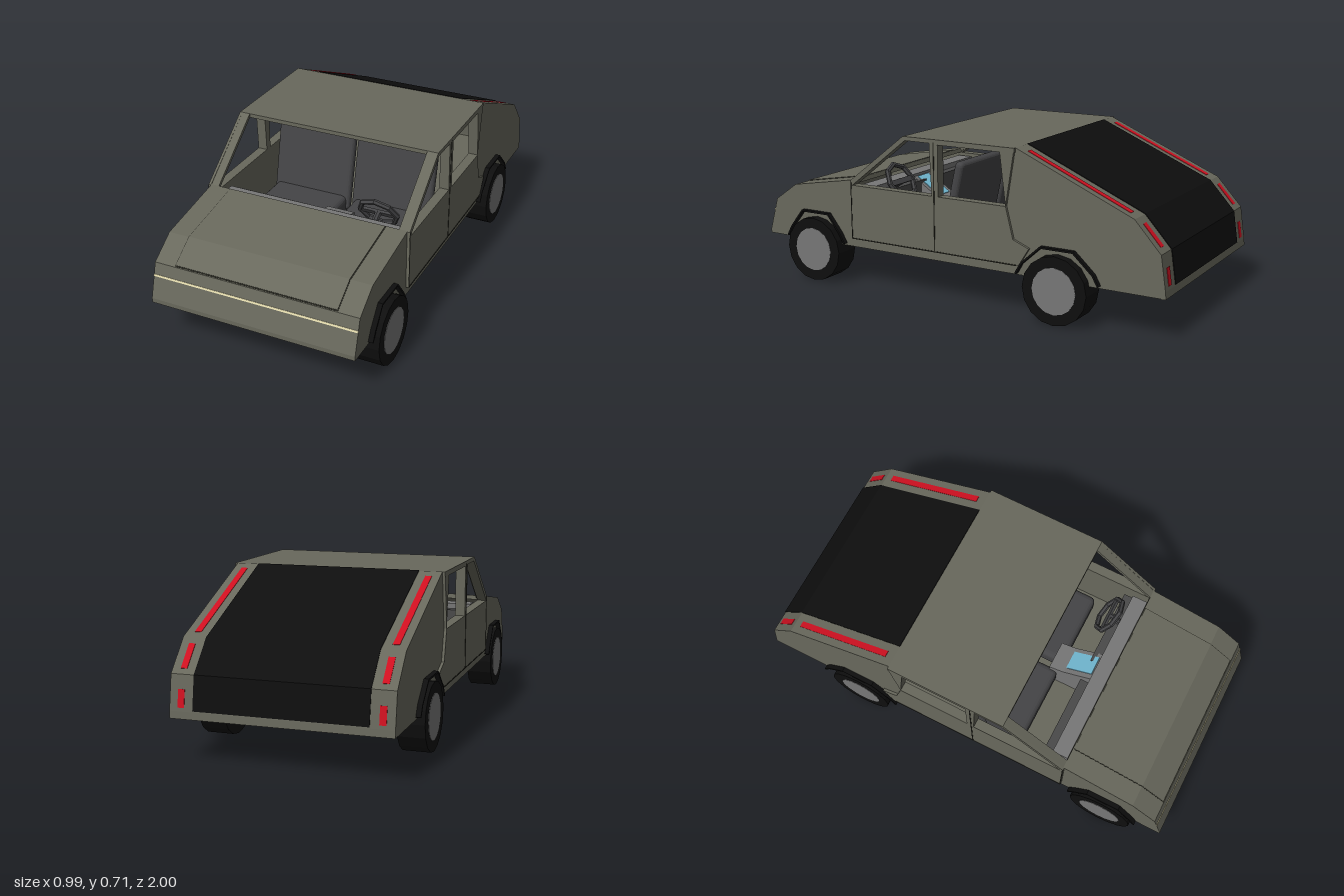
import * as THREE from 'three';
import { RoundedBoxGeometry } from 'three/addons/geometries/RoundedBoxGeometry.js';

const mat = (color) => new THREE.MeshStandardMaterial({ color, flatShading: true, roughness: 0.8, side: THREE.DoubleSide });
const paint = mat(0x68685c), black = mat(0x0e0e0e), red = mat(0xd01020), cream = mat(0xe6deb0);
const seam = mat(0x26261f), grey = mat(0x777777), lining = mat(0x4a4a4a), seatCloth = mat(0x444446), blue = mat(0x74bcd6);

// Profile points are [z, y], running from the nose over the roof to the tail
const NOSE = [[1, 0.18], [1, 0.2], [0.955, 0.35], [0.84, 0.43], [0.505, 0.488]];
const ROOF = [[0.22, 0.712], [-0.33, 0.712]];
const TAIL = [[-0.33, 0.712], [-0.86, 0.482], [-0.975, 0.355], [-0.997, 0.21], [-1, 0.18]];
const HALF = 0.462;

function add(parent, name, geometry, material, x = 0, y = 0, z = 0) {
  const mesh = new THREE.Mesh(geometry, material);
  mesh.name = name;
  mesh.position.set(x, y, z);
  parent.add(mesh);
  return mesh;
}

const toVectors = (pts) => pts.map(([z, y]) => new THREE.Vector2(z, y));

// Extrude a side-on outline across the car from x0 to x1
function across(outline, x0, x1, holes = []) {
  const shape = new THREE.Shape(toVectors(outline));
  holes.forEach((h) => shape.holes.push(new THREE.Path(toVectors(h))));
  const geo = new THREE.ExtrudeGeometry(shape, { depth: x1 - x0, bevelEnabled: false });
  return geo.rotateY(-Math.PI / 2).translate(x1, 0, 0);
}

// Move a profile line outwards by d, keeping its corners mitred
function offsetLine(pts, d) {
  const normal = (a, b) => new THREE.Vector2(b[1] - a[1], a[0] - b[0]).normalize();
  return pts.map((p, i) => {
    const n0 = i > 0 ? normal(pts[i - 1], p) : normal(p, pts[1]);
    const n1 = i < pts.length - 1 ? normal(p, pts[i + 1]) : n0;
    const m = n0.clone().add(n1).normalize();
    const k = d / m.dot(n0);
    return [p[0] + m.x * k, p[1] + m.y * k];
  });
}

// A sheet following a profile line, between two offsets from it
const sheet = (pts, x0, x1, inner, outer) =>
  across([...offsetLine(pts, outer), ...offsetLine(pts, inner).reverse()], x0, x1);

const mix = (a, b, t) => [a[0] + (b[0] - a[0]) * t, a[1] + (b[1] - a[1]) * t];

function buildShell(body) {
  const frontWindow = [[0.5, 0.466], [0.21, 0.694], [0.085, 0.694], [0.075, 0.466]];
  const rearWindow = [[0.042, 0.466], [0.042, 0.69], [-0.262, 0.69], [-0.29, 0.466]];
  const windows = [frontWindow, rearWindow];

  for (const s of [-1, 1]) {
    const span = (a, b) => (s > 0 ? [a, b] : [-b, -a]);
    // Full side wall, and the slightly proud cabin side with its doors
    add(body, 'sideWall', across([...NOSE, ...ROOF, ...TAIL.slice(1)], ...span(0.43, HALF), windows), paint);
    const cabin = [[0.51, 0.22], [0.51, 0.487], [0.22, 0.712], [-0.33, 0.712], [-0.29, 0.466],
      [-0.325, 0.33], [-0.4, 0.3], [-0.35, 0.22]];
    add(body, 'doorSkin', across(cabin, ...span(HALF, 0.474), windows), paint);
    // Door gaps
    const x = s * 0.4745;
    add(body, 'doorGap', new THREE.BoxGeometry(0.002, 0.48, 0.005), seam, x, 0.46, 0.063);
    add(body, 'doorGap', new THREE.BoxGeometry(0.002, 0.265, 0.004), seam, x, 0.353, 0.507);
    add(body, 'doorGap', new THREE.BoxGeometry(0.002, 0.005, 0.85), seam, x, 0.222, 0.083);
    // Wheel arch lips
    for (const [z, w] of [[0.715, 0.165], [-0.53, 0.19]]) {
      const arch = [[w, 0.19], [w - 0.025, 0.235], [0.075, 0.317], [-0.075, 0.317], [0.025 - w, 0.235], [-w, 0.19]]
        .map(([a, b]) => [z + a, b]);
      add(body, 'wheelArch', sheet(arch, ...span(0.44, 0.483), -0.005, 0.003), black);
    }
    // Windscreen pillar
    add(body, 'windscreenPillar', sheet([NOSE[4], ROOF[0]], ...span(0.425, HALF), -0.015, 0), paint);
  }

  add(body, 'hood', sheet(NOSE, -HALF, HALF, -0.02, 0), paint);
  add(body, 'roof', sheet(ROOF, -0.474, 0.474, -0.018, 0), paint);
  add(body, 'floor', new THREE.BoxGeometry(HALF * 2, 0.015, 1.99), paint, 0, 0.188, 0);

  // Hood lid with a dark gap round it
  const lid = [mix(NOSE[2], NOSE[3], 0.02), NOSE[3], mix(NOSE[3], NOSE[4], 0.99)];
  add(body, 'hoodGap', sheet(lid, -0.368, 0.368, -0.002, 0.001), seam);
  add(body, 'hoodLid', sheet([mix(lid[0], lid[1], 0.04), lid[1], lid[2]], -0.365, 0.365, -0.002, 0.003), paint);

  // Thin light bar across the nose
  const bar = [mix(NOSE[1], NOSE[2], 0.62), mix(NOSE[1], NOSE[2], 0.675)];
  add(body, 'lightBar', sheet(bar, -HALF, HALF, -0.002, 0.002), cream);
}

function buildTail(body) {
  const hatch = [...TAIL.slice(0, 3), mix(TAIL[2], TAIL[3], 0.97)];
  add(body, 'tailPanel', sheet(TAIL, -HALF, HALF, -0.018, 0), paint);
  add(body, 'hatch', sheet(hatch, -0.362, 0.362, -0.002, 0.003), black);
  add(body, 'hatchLining', sheet(TAIL.slice(0, 3), -0.362, 0.362, -0.022, -0.019), lining);
  // Three tail lights on each side, one for every slope of the tail
  const lights = [[0, 0.07, 0.94], [1, 0.18, 0.85], [2, 0.4, 0.9]];
  for (const s of [-1, 1]) {
    for (const [i, a, b] of lights) {
      const line = [mix(TAIL[i], TAIL[i + 1], a), mix(TAIL[i], TAIL[i + 1], b)];
      add(body, 'tailLight', sheet(line, s * 0.413 - 0.014, s * 0.413 + 0.014, -0.002, 0.002), red);
    }
  }
}

function buildInterior(body) {
  // Dashboard, console and screen
  add(body, 'dashboard', new THREE.BoxGeometry(0.82, 0.16, 0.075), grey, 0, 0.375, 0.467);
  for (const s of [-1, 1]) {
    add(body, 'dashShelf', new THREE.BoxGeometry(0.36, 0.1, 0.04), lining, s * 0.23, 0.38, 0.41);
  }
  add(body, 'console', across([[0.44, 0.2], [0.44, 0.45], [0.3, 0.36], [0.23, 0.34], [0.23, 0.2]], -0.035, 0.095), grey);
  add(body, 'screen', sheet([[0.425, 0.44], [0.305, 0.363]], -0.012, 0.075, -0.002, 0.004), blue);

  // Steering wheel on a short column
  const steering = new THREE.Group();
  steering.name = 'steeringWheel';
  steering.position.set(0.275, 0.462, 0.375);
  steering.rotation.x = 0.55;
  add(steering, 'steeringRim', new THREE.TorusGeometry(0.085, 0.012, 6, 8), seatCloth);
  add(steering, 'steeringSpoke', new THREE.BoxGeometry(0.16, 0.025, 0.012), seatCloth);
  add(steering, 'steeringColumn', new THREE.CylinderGeometry(0.015, 0.015, 0.1, 8).rotateX(Math.PI / 2), seatCloth, 0, 0, 0.05);
  body.add(steering);

  // Front seats
  for (const s of [-1, 1]) {
    add(body, 'seatCushion', new RoundedBoxGeometry(0.36, 0.09, 0.26, 2, 0.025), seatCloth, s * 0.2, 0.27, 0.14);
    add(body, 'seatBack', new RoundedBoxGeometry(0.385, 0.37, 0.045, 2, 0.02), seatCloth, s * 0.198, 0.425, 0.03)
      .rotation.x = -0.22;
  }
}

function buildWheel(side, z) {
  const wheel = new THREE.Group();
  wheel.name = 'wheel';
  wheel.position.set(side * 0.435, 0.147, z);
  add(wheel, 'tyre', new THREE.CylinderGeometry(0.147, 0.147, 0.118, 16).rotateZ(Math.PI / 2), black);
  add(wheel, 'rim', new THREE.CylinderGeometry(0.1, 0.1, 0.01, 16).rotateZ(Math.PI / 2), grey, side * 0.056);
  return wheel;
}

export function createModel() {
  const car = new THREE.Group();
  car.name = 'car';
  const body = new THREE.Group();
  body.name = 'body';
  body.position.x = -0.006;
  buildShell(body);
  buildTail(body);
  buildInterior(body);
  car.add(body);
  for (const side of [-1, 1]) for (const z of [0.715, -0.53]) car.add(buildWheel(side, z));
  return car;
}
